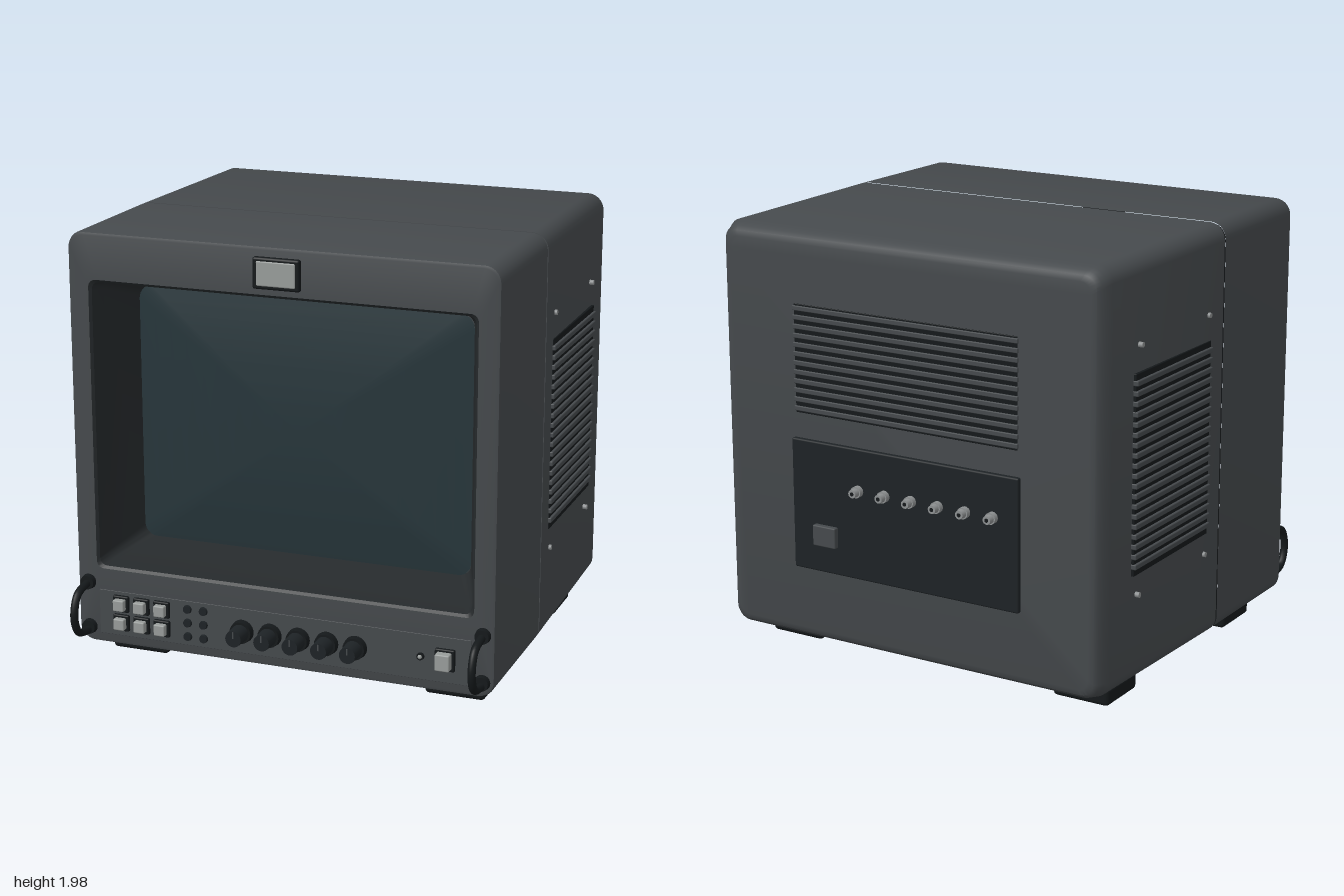
import * as THREE from 'three';
import { toCreasedNormals } from 'three/addons/utils/BufferGeometryUtils.js';
import { RoundedBoxGeometry } from 'three/addons/geometries/RoundedBoxGeometry.js';

const mat = (color) => new THREE.MeshStandardMaterial({ color });
const shell = mat(0x45494c), dark = mat(0x1d2225), black = mat(0x14181a), recessMat = mat(0x25292b);
const glass = mat(0x26353a), light = mat(0x989c9a), metal = mat(0x8c8f90), seamMat = mat(0x1a1d1f);

function add(parent, name, geometry, material, x = 0, y = 0, z = 0) {
  const m = new THREE.Mesh(geometry, material);
  m.name = name;
  m.position.set(x, y, z);
  parent.add(m);
  return m;
}

function group(parent, name) {
  const g = new THREE.Group();
  g.name = name;
  parent.add(g);
  return g;
}

// counter-clockwise rounded rectangle in the xy plane
function loop([z, w, y0, y1, r], n = 7) {
  const pts = [];
  const corners = [[w - r, y1 - r], [r - w, y1 - r], [r - w, y0 + r], [w - r, y0 + r]];
  corners.forEach(([cx, cy], k) => {
    for (let i = 0; i <= n; i++) {
      const a = (k + i / n) * Math.PI / 2;
      pts.push([cx + r * Math.cos(a), cy + r * Math.sin(a), z]);
    }
  });
  return pts;
}

// skin over rounded rectangles [z, halfWidth, bottom, top, radius]
function loft(sections, capStart, capEnd, crease = 0.6) {
  const loops = sections.map((s) => loop(s));
  const pos = [], n = loops[0].length;
  for (let s = 0; s + 1 < loops.length; s++) {
    for (let i = 0; i < n; i++) {
      const j = (i + 1) % n, A = loops[s], B = loops[s + 1];
      pos.push(...A[i], ...A[j], ...B[j], ...A[i], ...B[j], ...B[i]);
    }
  }
  const last = loops[loops.length - 1];
  for (let i = 1; i + 1 < n; i++) {
    if (capStart) pos.push(...loops[0][0], ...loops[0][i + 1], ...loops[0][i]);
    if (capEnd) pos.push(...last[0], ...last[i], ...last[i + 1]);
  }
  const g = new THREE.BufferGeometry();
  g.setAttribute('position', new THREE.Float32BufferAttribute(pos, 3));
  return toCreasedNormals(g, crease);
}

const box = (w, h, d, r = 0.006) => new RoundedBoxGeometry(w, h, d, 2, r);
// cylinder lying along z
const disc = (r0, r1, len, seg = 24) => new THREE.CylinderGeometry(r1, r0, len, seg).rotateX(Math.PI / 2);

export function createModel() {
  const model = new THREE.Group();
  model.name = 'videoMonitor';

  // cabinet
  add(model, 'rearHousing', loft([
    [-0.91, 0.915, 0.15, 1.91, 0.05], [-0.903, 0.938, 0.125, 1.935, 0.06], [-0.885, 0.953, 0.11, 1.952, 0.07],
    [-0.86, 0.96, 0.104, 1.962, 0.075], [-0.83, 0.972, 0.1, 1.972, 0.075], [0.135, 0.985, 0.087, 1.98, 0.075],
  ], true, true), shell);
  add(model, 'seam', loft([[0.12, 0.977, 0.094, 1.972, 0.07], [0.16, 0.977, 0.094, 1.972, 0.07]], true, false), seamMat);
  add(model, 'frontBezel', loft([
    [0.145, 0.985, 0.087, 1.98, 0.075], [0.795, 0.985, 0.085, 1.98, 0.075], [0.806, 0.981, 0.089, 1.976, 0.071],
    [0.81, 0.97, 0.1, 1.965, 0.06], [0.81, 0.89, 0.44, 1.77, 0.035],
  ], false, false), shell);

  // screen and its sloped surround
  add(model, 'screenSurround', loft([
    [0.81, 0.89, 0.44, 1.77, 0.035], [0.8, 0.878, 0.452, 1.758, 0.035], [0.72, 0.862, 0.464, 1.748, 0.04],
    [0.52, 0.78, 0.52, 1.69, 0.05],
  ], false, false), recessMat);
  const dome = [];
  for (let i = 0; i <= 10; i++) {
    const t = Math.max(1 - i / 10, 0.02);
    dome.push([0.525 + 0.05 * (1 - t * t), 0.782 * t, 1.105 - 0.587 * t, 1.105 + 0.587 * t, 0.06 * t]);
  }
  add(model, 'screen', loft(dome, false, true, 1), glass);

  // tally lamp
  add(model, 'tallyFrame', box(0.215, 0.138, 0.04, 0.01), black, 0, 1.867, 0.812);
  add(model, 'tallyLens', box(0.178, 0.108, 0.04), light, 0, 1.867, 0.816);

  // control strip
  const controls = group(model, 'controls');
  add(controls, 'controlStrip', box(1.76, 0.21, 0.01, 0.002), shell, 0, 0.235, 0.808);
  const key = (x, y, w, h, depth) => {
    add(controls, 'buttonSurround', box(w, h, 0.03), black, x, y, 0.813);
    add(controls, 'buttonCap', box(w - 0.024, h - 0.024, depth), light, x, y, 0.81 + depth / 2);
  };
  for (const x of [-0.77, -0.67, -0.57]) for (const y of [0.285, 0.195]) key(x, y, 0.077, 0.077, 0.045);
  key(0.765, 0.238, 0.09, 0.1, 0.055);
  for (const x of [-0.445, -0.368]) {
    for (const y of [0.302, 0.237, 0.172]) add(controls, 'smallButton', disc(0.022, 0.018, 0.02, 16), dark, x, y, 0.815);
  }
  for (let i = 0; i < 5; i++) {
    const x = -0.18 + i * 0.1335;
    add(controls, 'knobBase', disc(0.054, 0.05, 0.035), black, x, 0.235, 0.825);
    add(controls, 'knob', disc(0.041, 0.037, 0.09), dark, x, 0.235, 0.875);
    add(controls, 'knobMark', box(0.006, 0.03, 0.004, 0.001), shell, x, 0.253, 0.92);
  }
  add(controls, 'lampRing', disc(0.018, 0.016, 0.02, 16), black, 0.653, 0.238, 0.815);
  add(controls, 'lamp', new THREE.SphereGeometry(0.01, 12, 8), light, 0.653, 0.238, 0.825);

  // guard handles
  const path = new THREE.CatmullRomCurve3([
    [0.8, 0.366], [0.86, 0.364], [0.93, 0.342], [0.962, 0.28], [0.962, 0.225], [0.93, 0.168], [0.86, 0.146], [0.8, 0.144],
  ].map(([z, y]) => new THREE.Vector3(0, y, z)));
  for (const s of [-1, 1]) {
    const handle = group(model, s > 0 ? 'leftHandle' : 'rightHandle');
    add(handle, 'grip', new THREE.TubeGeometry(path, 40, 0.018, 12), black, s * 0.932);
    for (const y of [0.37, 0.155]) add(handle, 'handleFoot', disc(0.036, 0.032, 0.03), black, s * 0.932, y, 0.82);
  }

  // side vents with corner screws
  for (const s of [-1, 1]) {
    const vent = group(model, s > 0 ? 'leftVent' : 'rightVent');
    add(vent, 'ventPlate', box(0.03, 0.885, 0.675, 0.003), black, s * 0.972, 1.04, -0.315);
    for (let i = 0; i < 19; i++) {
      add(vent, 'ventSlat', box(0.03, 0.024, 0.68, 0.005), shell, s * 0.983, 0.64 + i * 0.0446, -0.315);
    }
    for (const y of [0.505, 1.6]) for (const z of [0, -0.61]) {
      add(vent, 'screw', disc(0.012, 0.012, 0.03, 12).rotateY(Math.PI / 2), metal, s * 0.98, y, z);
    }
  }

  // rear vent
  const rearVent = group(model, 'rearVent');
  add(rearVent, 'ventPlate', box(1.14, 0.49, 0.02, 0.003), black, 0, 1.4, -0.903);
  for (let i = 0; i < 12; i++) add(rearVent, 'ventSlat', box(1.15, 0.022, 0.02, 0.004), shell, 0, 1.175 + i * 0.041, -0.91);

  // rear connector panel
  const rear = group(model, 'connectorPanel');
  add(rear, 'panel', box(1.17, 0.6, 0.04, 0.008), dark, 0, 0.74, -0.911);
  for (let i = 0; i < 6; i++) {
    const x = -0.46 + i * 0.138;
    add(rear, 'connectorCollar', disc(0.026, 0.026, 0.03, 16), metal, x, 0.85, -0.94);
    add(rear, 'connector', disc(0.019, 0.022, 0.05, 16), metal, x, 0.85, -0.956);
    add(rear, 'connectorCore', disc(0.009, 0.009, 0.004, 12), black, x, 0.85, -0.981);
  }
  add(rear, 'socket', box(0.12, 0.095, 0.04), shell, 0.405, 0.615, -0.936);

  // feet
  for (const x of [-0.757, 0.757]) for (const z of [0.53, -0.57]) {
    add(model, 'foot', box(0.275, 0.08, 0.26, 0.018), black, x, 0.04, z);
    add(model, 'footPad', box(0.2, 0.05, 0.19, 0.005), black, x, 0.085, z);
  }
  return model;
}
